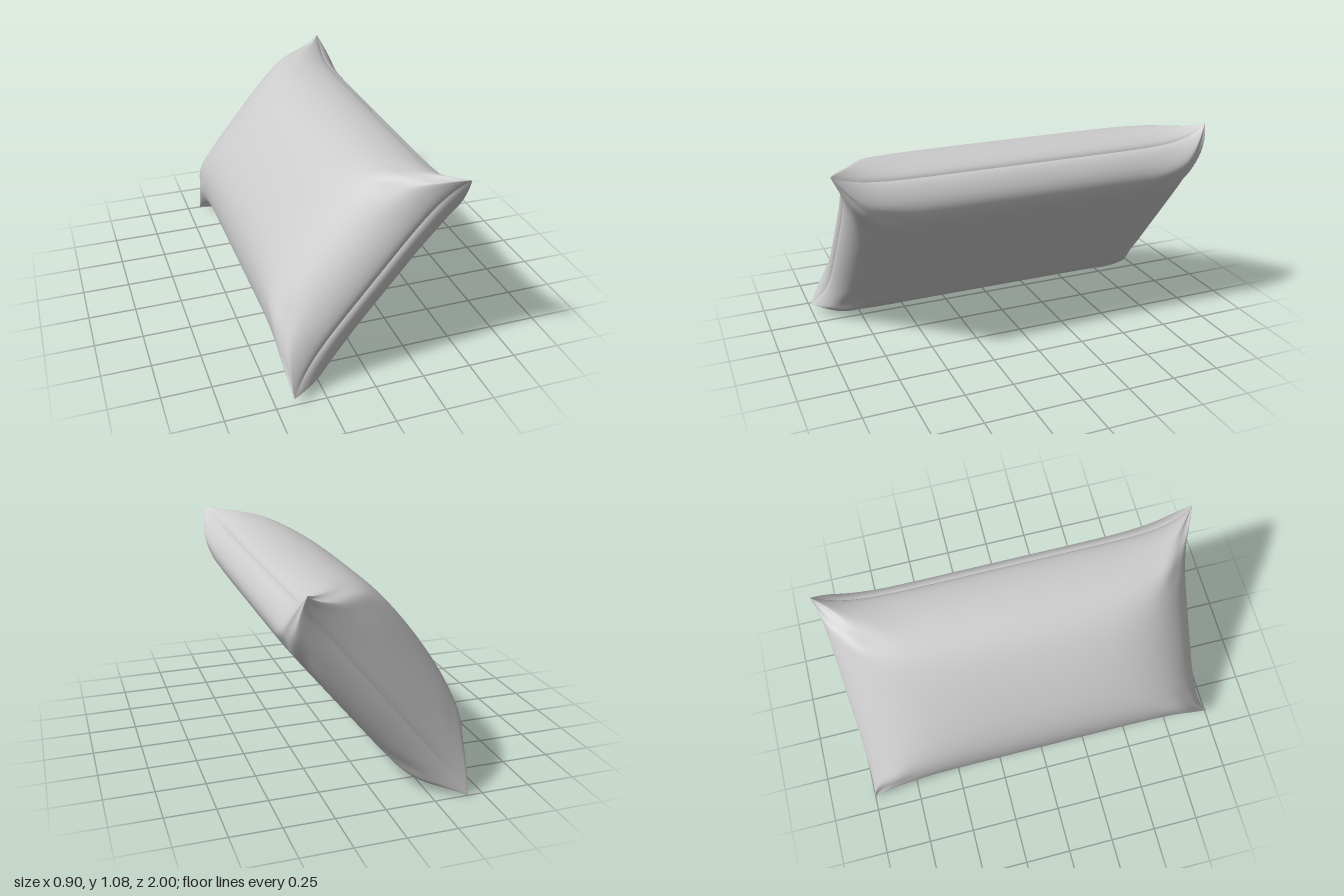
import * as THREE from 'three';

// Leaning cushion: D runs up the seam plane, N points out of the flat panel
const ORIGIN = new THREE.Vector3(-0.412, 0.037, 0);
const D = new THREE.Vector3(0.631, 0.776, 0);
const N = new THREE.Vector3(0.776, -0.631, 0);
const LENGTH = 1.31;

const bulge = (t, p, q) => Math.pow(Math.max(1 - Math.pow(Math.abs(t), p), 0), q);

// Smooth minimum, so the panel rises from all four seams
function softMin(k, ...values) {
  if (Math.min(...values) < 1e-4) return 0;
  return Math.pow(values.reduce((sum, a) => sum + Math.pow(a, -k), 0), -1 / k);
}

// Distance from the nearest corner, in model units
const cornerDistance = (u, v) => Math.hypot((1 - Math.abs(u)) * LENGTH / 2, 1 - Math.abs(v));

// Creases fanning out of each corner
function wrinkle(u, v) {
  const angle = Math.atan2(1 - Math.abs(v), (1 - Math.abs(u)) * LENGTH / 2);
  const phase = u * 1.3 + v * 2.1 > 0 ? 0.6 : 2.0;
  const reach = (cornerDistance(u, v) - 0.24) / 0.1;
  return 0.005 * Math.sin(angle * 9 + phase) * Math.exp(-reach * reach);
}

// Height of each panel over the seam plane, tapering to a point at the corners
const domeHeight = (u, v) => softMin(8,
  0.385 * bulge(u, 2, 0.58), 0.385 * bulge(v, v > 0 ? 2.7 : 3.2, 0.5), 1.05 * cornerDistance(u, v));
const flatHeight = (u, v) => softMin(8,
  0.197 * bulge(u, 8, 0.5), 0.197 * bulge(v, 8, 0.5), 1.1 * cornerDistance(u, v));

function panel(name, side, height) {
  const geometry = new THREE.PlaneGeometry(2, 2, 110, 130);
  const pos = geometry.attributes.position;
  const p = new THREE.Vector3();
  for (let i = 0; i < pos.count; i++) {
    // Sine spacing packs the rows close to the seams
    const u = side * Math.sin(pos.getX(i) * Math.PI / 2);
    const v = Math.sin(pos.getY(i) * Math.PI / 2);
    const h = height(u, v);

    // Seams are drawn in between the corners, with a shallow groove along them
    const alongZ = 1 - Math.pow(Math.abs(v), 8);
    const alongS = 1 - Math.pow(Math.abs(u), 5);
    const groove = 0.012 * Math.exp(-h / 0.015);
    const insetS = (0.09 + groove) * alongZ;
    const insetZ = ((v > 0 ? 0.08 : 0.025) + groove) * alongS;
    let s = LENGTH / 2 + u * (LENGTH / 2 - insetS);
    const z = v * (1 - insetZ);
    let off = side * (h + wrinkle(u, v) * Math.min(1, h / 0.08));

    // Folded ears at the two rear corners
    if (v < 0) {
      const ear = Math.pow(Math.abs(u * v), 14);
      if (u > 0) off -= 0.048 * ear;
      else { s -= 0.036 * ear; off += 0.014 * ear; }
    }
    p.copy(ORIGIN).addScaledVector(D, s).addScaledVector(N, off);
    pos.setXYZ(i, p.x, p.y, z);
  }
  geometry.computeVertexNormals();
  const material = new THREE.MeshStandardMaterial({ color: 0xcccccc, side: THREE.DoubleSide });
  const mesh = new THREE.Mesh(geometry, material);
  mesh.name = name;
  return mesh;
}

export function createModel() {
  const group = new THREE.Group();
  group.name = 'cushion';
  group.add(panel('domedPanel', -1, domeHeight));
  group.add(panel('flatPanel', 1, flatHeight));
  return group;
}
